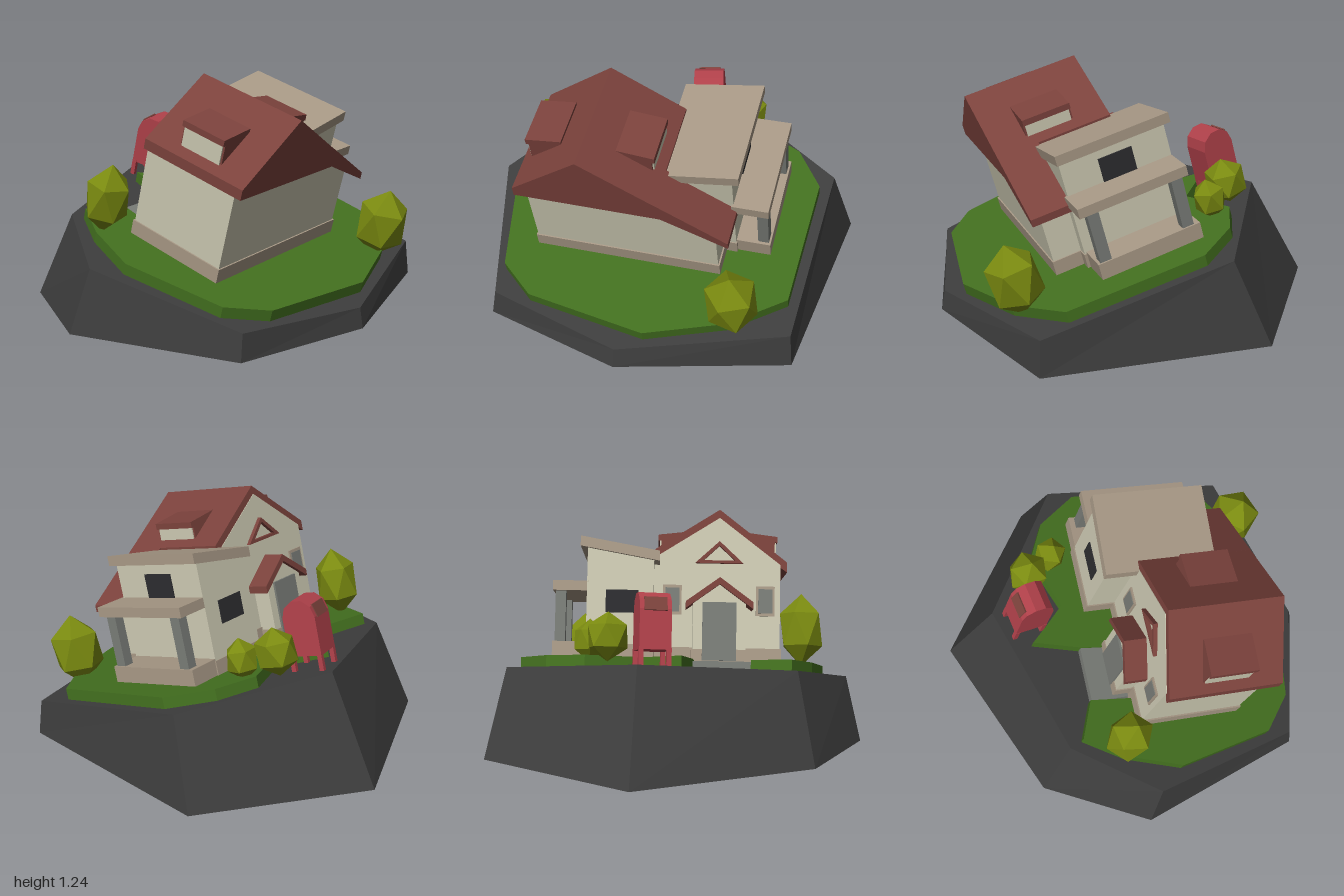
import * as THREE from 'three';

const mat = (name, color, double) => {
  const m = new THREE.MeshStandardMaterial({ color, flatShading: true });
  m.name = name;
  if (double) m.side = THREE.DoubleSide;
  return m;
};

export function createModel() {
  const stone = mat('dark stone', 0x3d3d3d, true);
  const grass = mat('grass green', 0x43701f, true);
  const cream = mat('cream wall', 0xcbc8b1);
  const trim = mat('taupe trim', 0xa79885);
  const roofRed = mat('roof red', 0x7b423c);
  const grey = mat('grey', 0x787b76);
  const glass = mat('dark glass', 0x2c2c2f);
  const leaf = mat('leaf green', 0x7a8a10);
  const red = mat('mailbox red', 0xb0414a);

  const model = new THREE.Group();
  model.name = 'hillHouse';

  const add = (parent, name, geo, material, x = 0, y = 0, z = 0) => {
    const m = new THREE.Mesh(geo, material);
    m.name = name;
    m.position.set(x, y, z);
    parent.add(m);
    return m;
  };
  // box given by its min and max corners
  const box = (parent, name, material, [x0, x1], [y0, y1], [z0, z1]) =>
    add(parent, name, new THREE.BoxGeometry(x1 - x0, y1 - y0, z1 - z0), material,
      (x0 + x1) / 2, (y0 + y1) / 2, (z0 + z1) / 2);
  // outline in x, y pushed from z0 to z1
  const slab = (parent, name, material, pts, z0, z1, hole) => {
    const s = new THREE.Shape(pts.map(p => new THREE.Vector2(...p)));
    if (hole) s.holes.push(new THREE.Path(hole.map(p => new THREE.Vector2(...p))));
    return add(parent, name,
      new THREE.ExtrudeGeometry(s, { depth: z1 - z0, bevelEnabled: false }), material, 0, 0, z0);
  };
  // open-bottomed solid between a lower and an upper ring
  const mound = (parent, name, material, low, high) => {
    const n = low.length, idx = [];
    for (let i = 0; i < n; i++) {
      const j = (i + 1) % n;
      idx.push(i, n + i, j, j, n + i, n + j);
    }
    const flat = high.map(p => new THREE.Vector2(p[0], -p[2]));
    const flip = THREE.ShapeUtils.isClockWise(flat);
    for (const [a, b, c] of THREE.ShapeUtils.triangulateShape(flat, [])) {
      const v = [0, 1, 2].map(k => flat[[a, b, c][k]]);
      const area = (v[1].x - v[0].x) * (v[2].y - v[0].y) - (v[1].y - v[0].y) * (v[2].x - v[0].x);
      idx.push(n + a, ...(area > 0 ? [n + b, n + c] : [n + c, n + b]));
    }
    if (!flip) for (let i = 0; i < 6 * n; i += 3) [idx[i + 1], idx[i + 2]] = [idx[i + 2], idx[i + 1]];
    let g = new THREE.BufferGeometry();
    g.setAttribute('position', new THREE.Float32BufferAttribute([...low, ...high].flat(), 3));
    g.setIndex(idx);
    g = g.toNonIndexed();
    g.computeVertexNormals();
    return add(parent, name, g, material);
  };

  // rock base with a sloping top
  const slope = z => 0.372 - 0.262 * z;
  const foot = [[0.17, -1], [0.97, -0.5], [0.95, 0.67], [0.11, 1], [-0.63, 0.86], [-0.97, 0.02], [-0.71, -0.55]];
  const rim = [[0.16, -0.7], [0.88, -0.32], [0.93, 0.66], [0.11, 0.98], [-0.61, 0.85], [-0.89, 0.09], [-0.62, -0.37]];
  mound(model, 'rockBase', stone, foot.map(([x, z]) => [x, 0.01, z]), rim.map(([x, z]) => [x, slope(z), z]));

  // everything else stands square to the slope
  const site = new THREE.Group();
  site.name = 'site';
  site.position.y = 0.372;
  site.rotation.x = 0.256;
  model.add(site);

  // lawn with a notch for the entrance path
  const lawn = [[-0.08, 0], [-0.08, -0.27], [-0.04, -0.53], [0.05, -0.45], [0.17, -0.35], [0.45, -0.49],
    [0.66, -0.41], [0.83, -0.21], [0.87, 0.52], [0.62, 0.74], [0.23, 0.915], [-0.41, 0.87], [-0.61, 0.73],
    [-0.77, 0.21], [-0.7, -0.1], [-0.59, -0.32], [-0.38, -0.255], [-0.38, 0]];
  mound(site, 'lawn', grass, lawn.map(([x, z]) => [x, -0.145, z]), lawn.map(([x, z]) => [x, 0.06, z]));

  const house = new THREE.Group();
  house.name = 'house';
  house.position.set(-0.2, 0, -0.036);
  house.rotation.y = 0.089;
  site.add(house);

  // main walls and plinth
  slab(house, 'mainWalls', cream, [[-0.33, 0], [0.64, 0], [0.64, 0.43], [0, 0.84], [-0.33, 0.59]], -0.003, 0.56);
  box(house, 'mainPlinth', trim, [-0.338, 0.648], [0, 0.135], [-0.01, 0.567]);

  // main roof, reaching lower at the front right
  slab(house, 'mainRoof', roofRed,
    [[-0.367, 0.55], [-0.33, 0.575], [0, 0.83], [0.37, 0.59], [0.37, 0.648], [0, 0.885], [-0.367, 0.604]], 0, 0.622);
  slab(house, 'frontGable', roofRed,
    [[-0.367, 0.55], [0.387, 0.545], [0.38, 0.64], [0, 0.88], [-0.367, 0.604]], 0.562, 0.622);
  slab(house, 'lowerRoof', roofRed,
    [[0.36, 0.555], [0.387, 0.545], [0.718, 0.39], [0.718, 0.428], [0.36, 0.655]], 0.4, 0.622);

  // shed dormers on both slopes
  for (const s of [-1, 1]) {
    const pts = [[0.14, 0.795], [0.33, 0.772], [0.33, 0.74], [0.315, 0.74], [0.315, 0.64], [0.14, 0.74]];
    slab(house, 'dormer', roofRed, pts.map(([x, y]) => [s * x, y]), 0.18, 0.44);
    box(house, 'dormerFace', cream, [s * 0.318 - 0.004, s * 0.318 + 0.004], [0.63, 0.742], [0.19, 0.43]);
  }

  // triangular gable ornament and windows on the back wall
  slab(house, 'gableOrnament', roofRed, [[-0.13, 0.59], [0.13, 0.59], [0, 0.71]], -0.025, 0,
    [[-0.085, 0.605], [0.085, 0.605], [0, 0.685]]);
  for (const x of [-0.25, 0.25]) {
    box(house, 'windowFrame', trim, [x - 0.05, x + 0.05], [0.31, 0.47], [-0.012, -0.003]);
    box(house, 'windowPane', grey, [x - 0.038, x + 0.038], [0.325, 0.455], [-0.016, -0.008]);
  }

  // entrance with its own little gable roof
  const entrance = new THREE.Group();
  entrance.name = 'entrance';
  house.add(entrance);
  slab(entrance, 'entranceWalls', cream, [[-0.14, 0], [0.14, 0], [0.14, 0.37], [0, 0.475], [-0.14, 0.37]], -0.1, 0);
  box(entrance, 'entrancePlinth', trim, [-0.146, 0.146], [0, 0.12], [-0.105, 0]);
  box(entrance, 'door', grey, [-0.09, 0.09], [0.06, 0.37], [-0.112, -0.1]);
  slab(entrance, 'entranceRoof', roofRed,
    [[-0.178, 0.335], [0, 0.465], [0.178, 0.335], [0.178, 0.372], [0, 0.502], [-0.178, 0.372]], -0.125, 0);
  box(entrance, 'landing', grey, [-0.165, 0.14], [-0.02, 0.05], [-0.225, -0.02]);

  // annex with a shed roof
  const annex = new THREE.Group();
  annex.name = 'annex';
  house.add(annex);
  slab(annex, 'annexWalls', cream, [[0.35, 0], [0.7, 0], [0.7, 0.65], [0.35, 0.59]], -0.155, 0.41);
  box(annex, 'annexPlinth', trim, [0.343, 0.705], [0, 0.135], [-0.162, 0.415]);
  slab(annex, 'annexRoof', trim, [[0.32, 0.575], [0.737, 0.647], [0.737, 0.7], [0.32, 0.628]], -0.18, 0.425);
  box(annex, 'sideWindow', glass, [0.698, 0.706], [0.46, 0.59], [0.035, 0.215]);
  box(annex, 'backWindow', glass, [0.43, 0.6], [0.3, 0.42], [-0.161, -0.153]);

  // side porch
  box(annex, 'porchFloor', trim, [0.69, 0.875], [0, 0.145], [-0.155, 0.4]);
  box(annex, 'porchRoof', trim, [0.69, 0.878], [0.413, 0.465], [-0.155, 0.425]);
  for (const z of [-0.095, 0.355])
    box(annex, 'porchPost', grey, [0.81, 0.865], [0.14, 0.42], [z - 0.03, z + 0.03]);

  // faceted bushes: x, height of centre, z, radius, half height
  const bushes = [[-0.64, 0.23, -0.12, 0.125, 0.19], [0.63, 0.19, 0.685, 0.145, 0.195],
    [0.33, 0.15, -0.535, 0.115, 0.125], [0.44, 0.14, -0.4, 0.09, 0.11]];
  bushes.forEach(([x, y, z, r, h], i) => {
    const g = new THREE.IcosahedronGeometry(1, 0);
    g.rotateX(-Math.atan2((1 + Math.sqrt(5)) / 2, 1));
    g.rotateY(i * 0.8 + 0.3);
    g.scale(r, h, r);
    g.computeVertexNormals();
    add(site, 'bush', g, leaf, x, y, z);
  });

  // mailbox with a rounded top on four legs
  const mailbox = new THREE.Group();
  mailbox.name = 'mailbox';
  mailbox.position.set(0.105, 0, -0.56);
  mailbox.rotation.y = 0.28;
  site.add(mailbox);
  const side = [[-0.09, 0.08], [0.09, 0.08]];
  for (let i = 0; i <= 5; i++) {
    const t = i * Math.PI / 5;
    side.push([0.09 * Math.cos(t), 0.28 + 0.09 * Math.sin(t)]);
  }
  slab(mailbox, 'mailboxBody', red, side, -0.08, 0.08).geometry.rotateY(Math.PI / 2);
  mailbox.children[0].position.set(-0.08, 0, 0);
  for (const x of [-0.07, 0.07])
    for (const z of [-0.078, 0.078])
      box(mailbox, 'mailboxLeg', red, [x - 0.012, x + 0.012], [-0.01, 0.09], [z - 0.012, z + 0.012]);
  const hatch = add(mailbox, 'mailboxHatch', new THREE.BoxGeometry(0.115, 0.07, 0.008), roofRed, 0, 0.306, -0.083);
  hatch.rotation.x = 0.31;

  return model;
}
